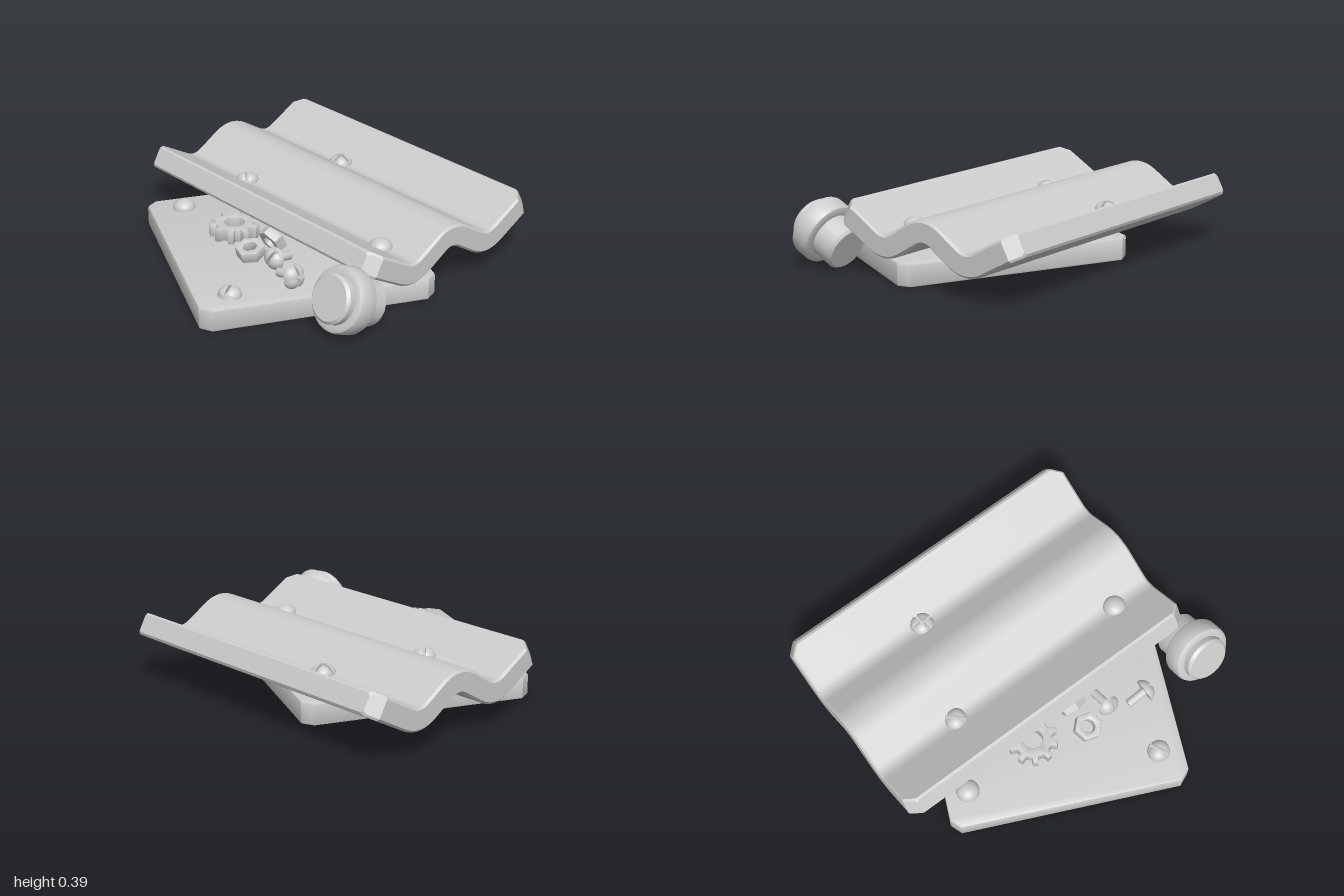
import * as THREE from 'three';
import { toCreasedNormals } from 'three/addons/utils/BufferGeometryUtils.js';

const mat = new THREE.MeshStandardMaterial({ color: 0xcccccc });
const matDouble = new THREE.MeshStandardMaterial({ color: 0xcccccc, side: THREE.DoubleSide });
const V2 = (x, y) => new THREE.Vector2(x, y);
const TOP = 0.125; // top of the flat plate

function mesh(geo, name, material = mat) {
  const m = new THREE.Mesh(geo, material);
  m.name = name;
  return m;
}

function place(obj, x, y, z, rx = 0, ry = 0, rz = 0) {
  obj.position.set(x, y, z);
  obj.rotation.set(rx, ry, rz);
  return obj;
}

// Flat outline in the ground plane, given thickness and softened edges
function slab(shape, height, b) {
  const g = new THREE.ExtrudeGeometry(shape, {
    depth: height - 2 * b, bevelEnabled: true, bevelSize: b, bevelOffset: -b,
    bevelThickness: b, bevelSegments: 2, curveSegments: 20,
  });
  g.rotateX(-Math.PI / 2).translate(0, b, 0);
  return toCreasedNormals(g, 0.6);
}

// Rectangular plate with cut corners, turned on the ground
function flatPlate() {
  const half = [[-0.94, 0.30], [-0.91, 0.37], [0.15, 0.855], [0.22, 0.83]];
  const all = [...half, ...half.map(([x, z]) => [-0.21 - x, 0.02 - z])];
  return mesh(slab(new THREE.Shape(all.map(([x, z]) => V2(x, -z))), TOP, 0.012), 'flatPlate');
}

// Wavy plate: bevelled section swept along its bends
function wavyPlate() {
  const path = new THREE.CurvePath();
  const knots = [[-0.26, 0.34], [0.05, 0.165], [0.325, 0.335], [0.6, 0.165], [0.91, 0.34]].map(p => V2(...p));
  let from = knots[0];
  for (let i = 1; i < 4; i++) {
    const k = knots[i];
    const a = k.clone().add(knots[i - 1].clone().sub(k).setLength(0.095));
    const c = k.clone().add(knots[i + 1].clone().sub(k).setLength(0.095));
    path.add(new THREE.LineCurve(from, a));
    path.add(new THREE.QuadraticBezierCurve(a, k, c));
    from = c;
  }
  path.add(new THREE.LineCurve(from, knots[4]));

  const L = path.getLength(), b = 0.012, cut = 0.06, n = 70;
  const stations = [0, b];
  for (let i = 0; i <= n; i++) stations.push(cut + (L - 2 * cut) * i / n);
  stations.push(L - b, L);

  const pos = [], idx = [];
  for (const s of stations) {
    const u = Math.min(1, Math.max(0, s / L));
    const p = path.getPointAt(u), t = path.getTangentAt(u);
    const edge = Math.min(s, L - s);
    const inset = Math.max(0, cut - edge), end = edge < 1e-6 ? b : 0;
    const h = 0.062 - end, f = 0.85 - inset, k = -1 + inset;
    const ring = [[h, f - b], [h - b, f], [b - h, f], [-h, f - b],
      [-h, k + b], [b - h, k], [h - b, k], [h, k + b]];
    for (const [o, z] of ring) pos.push(p.x - t.y * o, p.y + t.x * o, z);
  }
  const last = (stations.length - 1) * 8;
  for (let r = 0; r < last; r += 8) {
    for (let j = 0; j < 8; j++) {
      const q = (j + 1) % 8;
      idx.push(r + j, r + q, r + 8 + q, r + j, r + 8 + q, r + 8 + j);
    }
  }
  for (let j = 1; j < 7; j++) idx.push(0, j + 1, j, last, last + j, last + j + 1);
  const g = new THREE.BufferGeometry();
  g.setAttribute('position', new THREE.Float32BufferAttribute(pos, 3));
  g.setIndex(idx);
  return mesh(toCreasedNormals(g, 0.5), 'wavyPlate');
}

// Stepped round knob, tilted, leaning on the plates
function knob() {
  const profile = [[0, -0.05], [0.115, -0.05], [0.13, -0.035], [0.13, 0], [0.155, 0], [0.169, 0.008], [0.175, 0.025],
    [0.175, 0.1], [0.169, 0.115], [0.155, 0.122], [0.125, 0.122], [0.125, 0.24], [0.112, 0.255], [0, 0.255]];
  const g = new THREE.LatheGeometry(profile.map(p => V2(...p)), 48);
  return place(mesh(toCreasedNormals(g, 0.6), 'knob'), -0.475, 0.22, 0.815, 0, 0, -1.99);
}

// Domed head; parts = 1 plain, 2 slotted, 4 cross-cut
function domeHead(parts, R = 0.064, H = 0.05) {
  const head = new THREE.Group();
  head.name = 'fastenerHead';
  const w = parts === 1 ? 0 : 0.009;
  const arc = Math.PI * 2 / parts, r = R - w;
  for (let i = 0; i < parts; i++) {
    const piece = new THREE.Group();
    piece.name = 'domeSegment';
    piece.add(mesh(new THREE.SphereGeometry(1, 32 / parts, 10, 0, arc, 0, Math.PI / 2), 'dome', matDouble));
    if (parts > 1) {
      // Flat walls along the cut
      for (const a of [0, arc]) {
        const wall = mesh(new THREE.CircleGeometry(1, 10, Math.PI / 2, Math.PI / 2), 'slotWall', matDouble);
        wall.rotation.y = a;
        piece.add(wall);
      }
    }
    piece.scale.set(r, H, r);
    const shift = parts === 4 ? w * Math.SQRT2 : w;
    piece.position.set(-Math.cos(arc / 2) * shift, 0, Math.sin(arc / 2) * shift);
    const holder = new THREE.Group();
    holder.name = 'headPart';
    holder.add(piece);
    holder.rotation.y = i * arc;
    head.add(holder);
  }
  // Floor of the cut and underside
  const floor = mesh(new THREE.CylinderGeometry(R * 0.88, R * 0.97, H * 0.4, 32), 'headCore');
  floor.position.y = H * 0.2;
  head.add(floor);
  return head;
}

// Loose screw, head up along local y
function screw(parts) {
  const g = new THREE.Group();
  g.name = 'looseScrew';
  const shank = mesh(new THREE.CylinderGeometry(0.024, 0.024, 0.115, 20), 'shank');
  shank.position.y = -0.055;
  g.add(domeHead(parts), shank);
  return g;
}

// Ring of corners turned into a part with a round hole
function holed(points, hole, height, b, name) {
  const s = new THREE.Shape(points);
  s.holes.push(new THREE.Path().absarc(0, 0, hole, 0, Math.PI * 2, true));
  return mesh(slab(s, height, b), name);
}

function hexNut() {
  const pts = [];
  for (let i = 0; i < 6; i++) pts.push(V2(Math.cos(i * Math.PI / 3) * 0.08, Math.sin(i * Math.PI / 3) * 0.08));
  return holed(pts, 0.036, 0.06, 0.007, 'hexNut');
}

function gear() {
  const pts = [], teeth = 10;
  for (let i = 0; i < teeth; i++) {
    for (const [f, r] of [[-0.27, 0.105], [-0.17, 0.138], [0.17, 0.138], [0.27, 0.105]]) {
      const a = (i + f) / teeth * Math.PI * 2;
      pts.push(V2(Math.cos(a) * r, Math.sin(a) * r));
    }
  }
  return holed(pts, 0.055, 0.075, 0.005, 'gear');
}

export function createModel() {
  const model = new THREE.Group();
  model.name = 'scrapPile';
  model.add(flatPlate(), wavyPlate(), knob());

  // Fasteners set in the plates: kind, position, turn
  const fixed = [
    [2, 0.042, 0.25, -0.49, 0.8], [1, 0.042, 0.25, 0.6, 0], [4, 0.6, 0.25, -0.31, 0.1],
    [2, -0.735, TOP, 0.3, 0.45], [1, -0.285, TOP, -0.66, 0],
  ];
  for (const [kind, x, y, z, turn] of fixed) model.add(place(domeHead(kind), x, y, z, 0, turn, 0));

  // Loose small parts on the flat plate
  model.add(
    place(gear(), -0.28, TOP, -0.215, 0, 0.1, 0),
    place(hexNut(), -0.395, TOP + 0.02, 0.065, 0, 0.25, 0.25),
    place(hexNut(), -0.28, TOP + 0.055, 0.075, 0, 0, -1.1),
    place(screw(2), -0.37, TOP + 0.055, 0.23, 0.4, 0, 1.35),
    place(screw(4), -0.43, TOP + 0.055, 0.44, 1.4, 0, 0),
  );
  return model;
}
